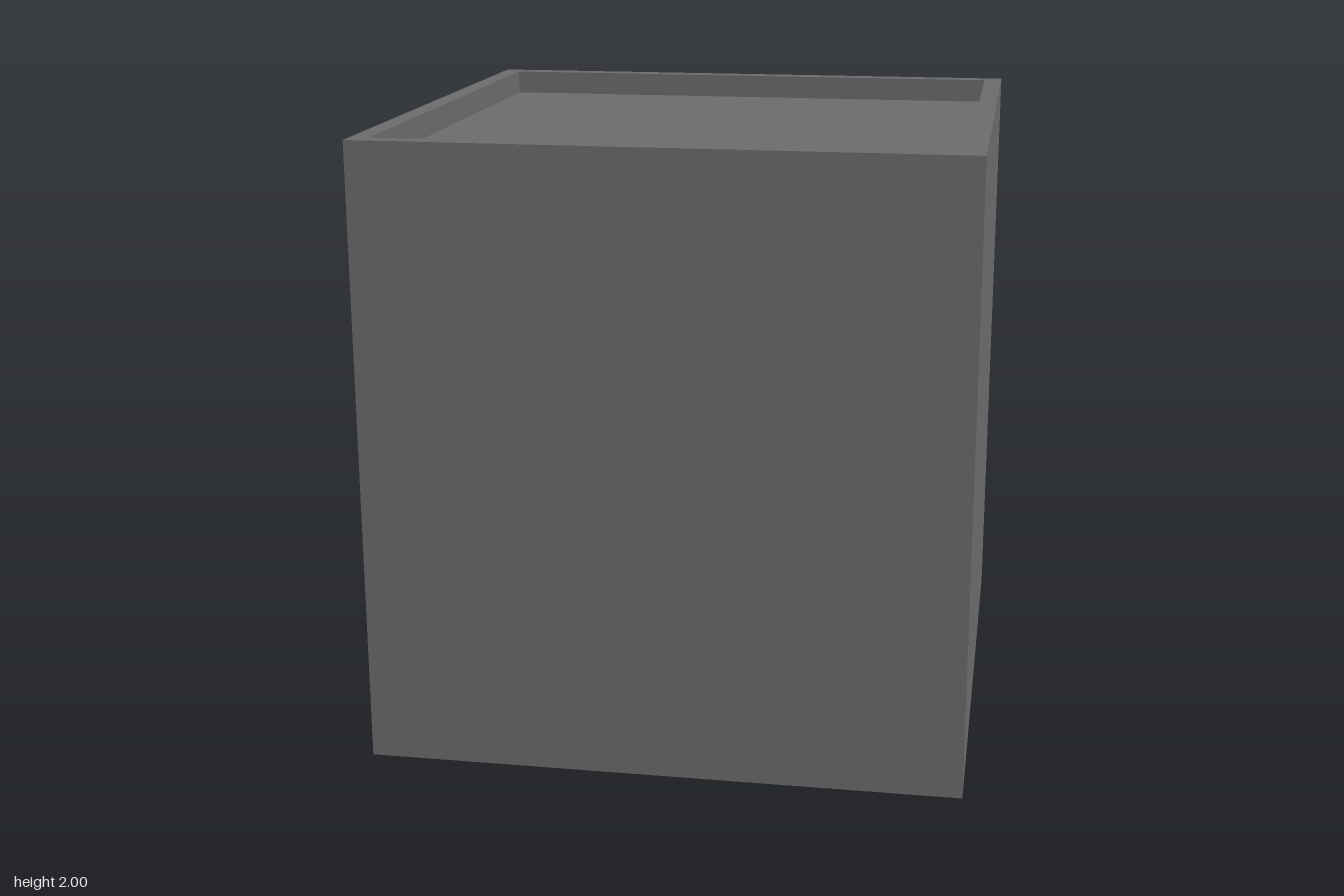
import * as THREE from 'three';

const HALF = 0.95, HEIGHT = 2, RIM = 0.06, ROOF = 1.92, FLOOR = 0.02;

function square(r) {
  return [[-r, -r], [r, -r], [r, r], [-r, r]].map(([x, y]) => new THREE.Vector2(x, y));
}

// Square tube standing upright between two heights
function frame(outer, inner, y0, y1) {
  const shape = new THREE.Shape(square(outer));
  shape.holes.push(new THREE.Path(square(inner).reverse()));
  const geometry = new THREE.ExtrudeGeometry(shape, { depth: y1 - y0, bevelEnabled: false });
  return geometry.rotateX(-Math.PI / 2).translate(0, y0, 0);
}

export function createModel() {
  const model = new THREE.Group();
  model.name = 'building';
  const wallMaterial = new THREE.MeshStandardMaterial({ color: 0x6c6c6c });
  const windowMaterial = new THREE.MeshStandardMaterial({ color: 0xcccccc });

  const add = (name, geometry, material, parent = model) => {
    const mesh = new THREE.Mesh(geometry, material);
    mesh.name = name;
    parent.add(mesh);
    return mesh;
  };

  // Main block with a flat roof
  const body = new THREE.BoxGeometry(HALF * 2, ROOF - FLOOR, HALF * 2);
  add('body', body.translate(0, (ROOF + FLOOR) / 2, 0), wallMaterial);

  // Raised parapet round the roof and thin skirt round the base
  add('parapet', frame(HALF, HALF - RIM, ROOF, HEIGHT), wallMaterial);
  add('baseSkirt', frame(HALF, HALF - 0.004, 0, FLOOR), wallMaterial);

  // Flush windows on one side: columns along z, rows along y
  const columns = [[-0.8, -0.42], [-0.35, -0.02], [0.03, 0.38], [0.44, 0.9]];
  const rows = [[1.28, 1.84], [0.58, 1.185], [0.095, 0.505]];
  const windows = new THREE.Group();
  windows.name = 'windows';
  model.add(windows);
  rows.forEach(([y0, y1], r) => columns.forEach(([z0, z1], c) => {
    // The bottom row has only its outer two windows
    if (r === 2 && (c === 1 || c === 2)) return;
    const pane = new THREE.PlaneGeometry(z1 - z0, y1 - y0).rotateY(-Math.PI / 2);
    const mesh = add('window', pane, windowMaterial, windows);
    mesh.position.set(-HALF - 0.002, (y0 + y1) / 2, (z0 + z1) / 2);
  }));

  return model;
}
